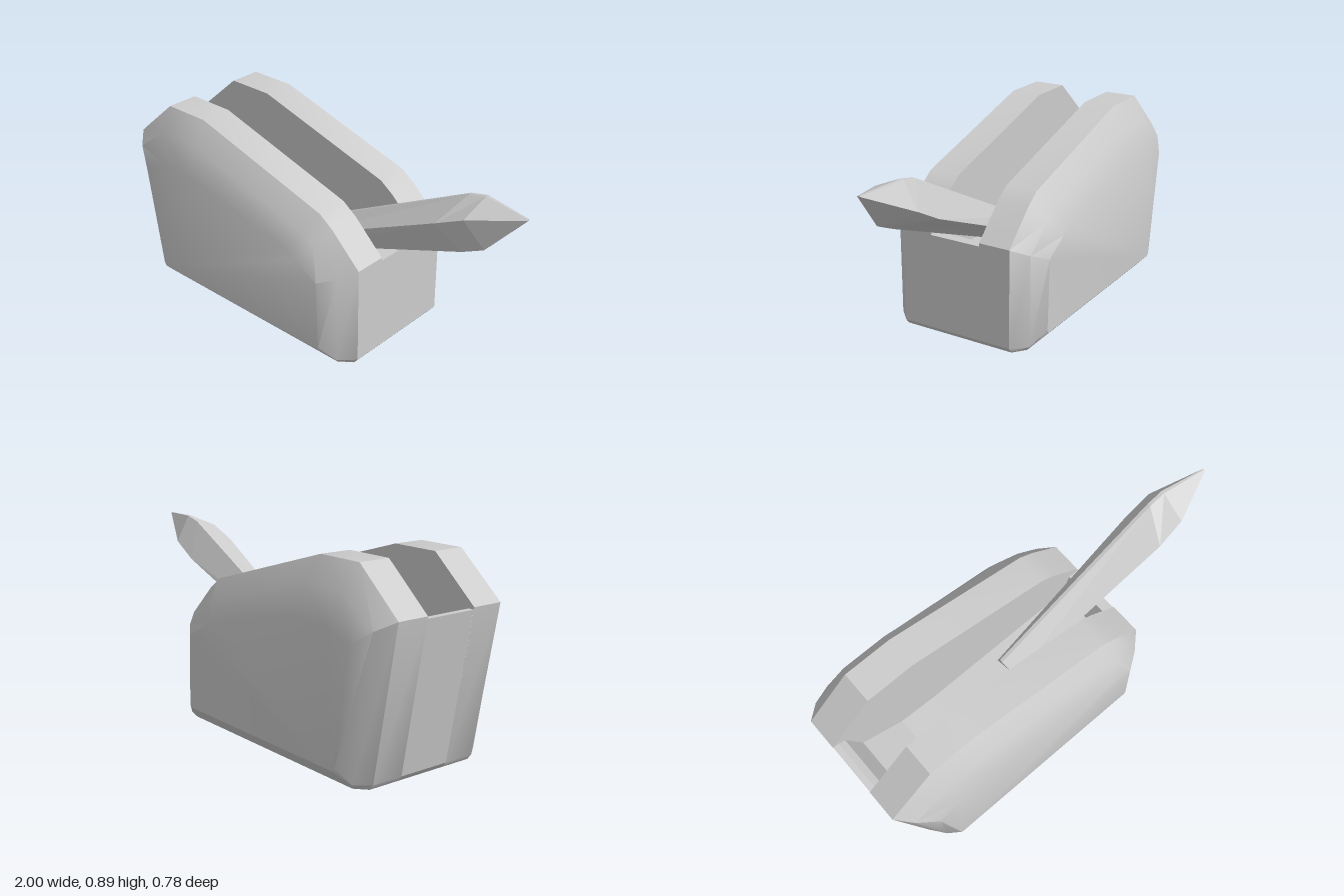
import * as THREE from 'three';
import { toCreasedNormals } from 'three/addons/utils/BufferGeometryUtils.js';

const smooth = new THREE.MeshStandardMaterial({ color: 0xcccccc });
const thin = new THREE.MeshStandardMaterial({ color: 0xcccccc, side: THREE.DoubleSide });
const faceted = new THREE.MeshStandardMaterial({ color: 0xcccccc, flatShading: true });

// Skin a list of sections; wrap(j) says whether strip j closes on itself
function loft(sections, { wrap = () => true, capStart = false, capEnd = false } = {}) {
  const pos = [];
  const tri = (a, b, c) => pos.push(...a, ...b, ...c);
  for (let j = 0; j + 1 < sections.length; j++) {
    const p = sections[j], q = sections[j + 1], n = p.length;
    for (let i = 0; i < (wrap(j) ? n : n - 1); i++) {
      const k = (i + 1) % n;
      tri(p[i], q[i], q[k]);
      tri(p[i], q[k], p[k]);
    }
  }
  const first = sections[0], last = sections[sections.length - 1];
  for (let i = 1; i + 1 < first.length; i++) {
    if (capStart) tri(first[0], first[i], first[i + 1]);
    if (capEnd) tri(last[0], last[i + 1], last[i]);
  }
  const g = new THREE.BufferGeometry();
  g.setAttribute('position', new THREE.Float32BufferAttribute(pos, 3));
  return g;
}

const at = (profile, z) => profile.map(([x, y, pz = z]) => [x, y, Math.sign(z) * Math.abs(pz)]);
const shapeOf = (pts) => new THREE.Shape(pts.map(([x, y]) => new THREE.Vector2(x, y)));

function add(group, name, geometry, material) {
  geometry.computeVertexNormals();
  const mesh = new THREE.Mesh(geometry, material);
  mesh.name = name;
  group.add(mesh);
  return mesh;
}

// Side profiles, from bottom back over the top to bottom front
const FULL = [[-0.86, 0], [-0.88, 0.025], [-1, 0.7], [-0.78, 0.89], [-0.55, 0.89],
  [0.16, 0.68], [0.23, 0.63], [0.38, 0.485], [0.38, 0.025], [0.36, 0]];
const SHOULDER = [[-0.81, 0, 0.32], [-0.83, 0.025], [-0.935, 0.66], [-0.76, 0.785], [-0.54, 0.785],
  [0.12, 0.6], [0.18, 0.56], [0.315, 0.45], [0.315, 0.025], [0.3, 0, 0.32]];
const FLANK = [[-0.77, 0.075], [-0.78, 0.09], [-0.85, 0.6], [-0.72, 0.65], [-0.53, 0.65],
  [0.06, 0.52], [0.12, 0.49], [0.24, 0.42], [0.25, 0.09], [0.24, 0.075]];
// Slot floor between the cheeks, back to front
const FLOOR = [[-0.998, 0.69], [-0.97, 0.69], [-0.94, 0.67], [-0.88, 0.48], [-0.68, 0.36],
  [-0.5, 0.34], [0.29, 0.34], [0.33, 0.47], [0.38, 0.47]];
const SLOT = 0.125;

// Chamfered plan outline in x and z
const plan = (x0, x1, w, cut) => [[x0, -w + cut], [x0 + cut, -w], [x1 - cut, -w], [x1, -w + cut],
  [x1, w - cut], [x1 - cut, w], [x0 + cut, w], [x0, w - cut]];

function buildHousing() {
  const housing = new THREE.Group();
  housing.name = 'housing';

  // Rounded cheeks either side of the slot
  const left = [at(FULL, SLOT), at(FULL, 0.275), at(SHOULDER, 0.34), at(FLANK, 0.39)];
  const right = [at(FLANK, -0.39), at(SHOULDER, -0.34), at(FULL, -0.275), at(FULL, -SLOT)];
  add(housing, 'frontCheek', toCreasedNormals(loft(left, { wrap: (j) => j === 2, capEnd: true }), 0.6), smooth);
  add(housing, 'backCheek', toCreasedNormals(loft(right, { wrap: (j) => j === 0, capStart: true }), 0.6), smooth);
  housing.children.forEach((m) => { m.geometry = toCreasedNormals(m.geometry, 0.6); });

  // Centre strip: end walls and slot floor
  const centre = [...FULL.slice(0, 2), ...FLOOR, ...FULL.slice(8)];
  const strip = loft([at(centre, -SLOT), at(centre, SLOT)], { wrap: () => false });
  add(housing, 'slotFloor', strip, smooth);

  // Slot side walls
  const wall = [...FULL.slice(2, 8), ...FLOOR.slice().reverse()];
  for (const z of [-SLOT, SLOT]) {
    add(housing, 'slotWall', new THREE.ShapeGeometry(shapeOf(wall)).translate(0, 0, z), thin);
  }

  // Bottom rim and hollow underside
  const outer = plan(-0.86, 0.36, 0.32, 0.05);
  const inner = plan(-0.82, 0.325, 0.285, 0.05);
  const rim = shapeOf(outer);
  rim.holes.push(shapeOf(inner));
  add(housing, 'bottomRim', new THREE.ShapeGeometry(rim).rotateX(Math.PI / 2), thin);
  const upper = plan(-0.86, 0.325, 0.285, 0.05);
  const lift = (pts, y) => pts.map(([x, z]) => [x, y, z]);
  add(housing, 'innerLining', loft([lift(inner, 0), lift(upper, 0.33)], { capEnd: true }), thin);
  return housing;
}

// Faceted lever with a swollen, pointed end
function buildLever() {
  const station = (top, right, bottom, left, bevel) => [
    [top[0], top[1], top[2] + bevel], [top[0], top[1], top[2] - bevel], right,
    [bottom[0], bottom[1], bottom[2] - bevel], [bottom[0], bottom[1], bottom[2] + bevel], left];
  const sections = [
    station([-0.165, 0.41, -0.035], [-0.16, 0.34, -0.068], [-0.14, 0.29, 0.03], [-0.15, 0.36, 0.058], 0.008),
    station([0.7, 0.853, -0.035], [0.65, 0.68, -0.113], [0.74, 0.635, 0.05], [0.64, 0.755, 0.115], 0.008),
    station([0.78, 0.872, -0.035], [0.78, 0.75, -0.108], [0.84, 0.68, 0.04], [0.77, 0.815, 0.105], 0.008),
    station([0.995, 0.863, -0.003], [1, 0.86, -0.006], [0.995, 0.853, 0.003], [1, 0.86, 0.006], 0.003),
  ];
  return loft(sections, { capStart: true, capEnd: true });
}

export function createModel() {
  const model = new THREE.Group();
  model.name = 'leverSwitch';
  model.add(buildHousing());
  add(model, 'lever', buildLever(), faceted);
  return model;
}
